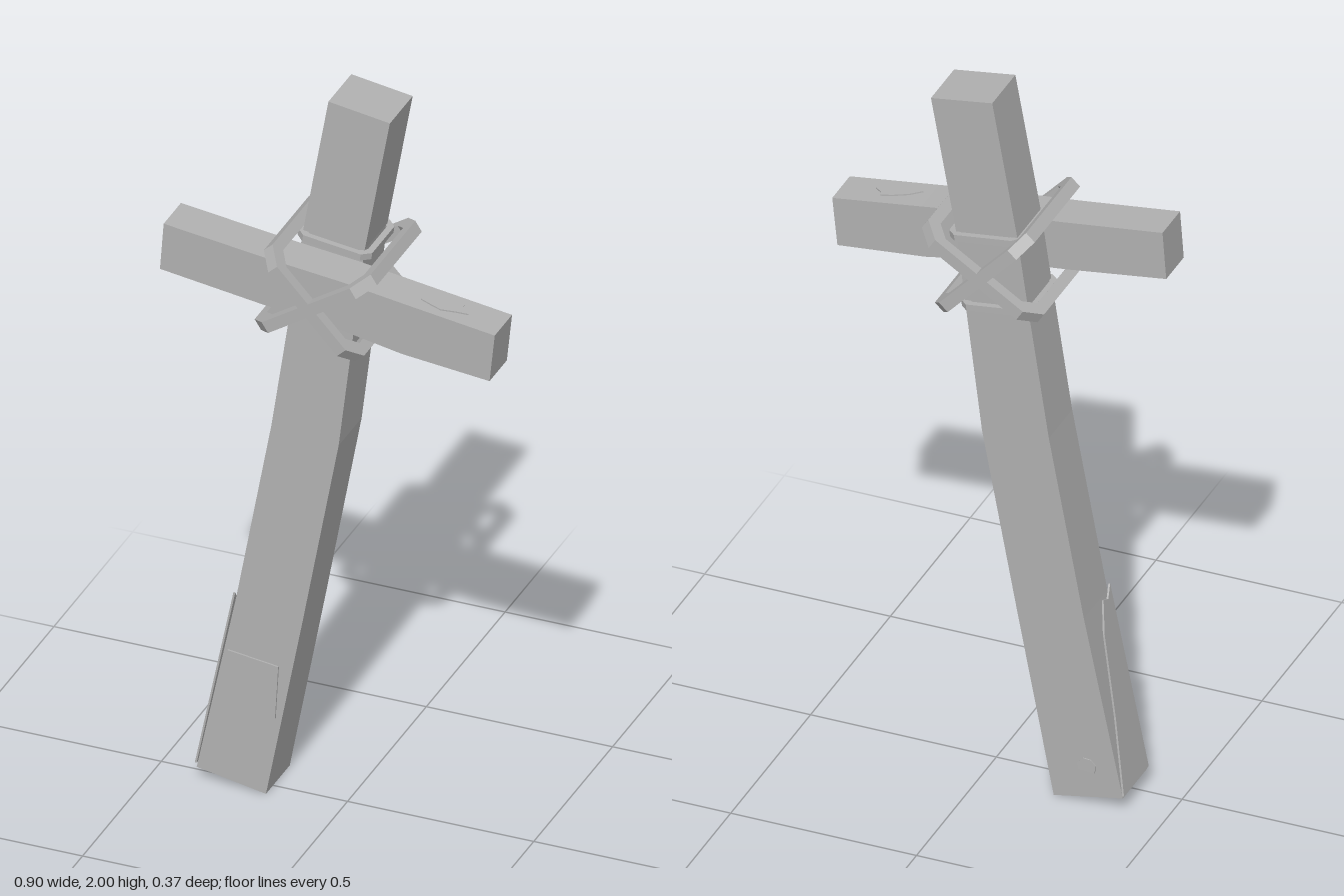
import * as THREE from 'three';

const wood = new THREE.MeshStandardMaterial({ color: 0xb0b0b0 });
wood.name = 'grey wood';

// Closed beam through four-cornered sections (corners anticlockwise seen from the far end)
function loft(sections) {
  const pos = [];
  const quad = (a, b, c, d) => pos.push(...a, ...b, ...c, ...a, ...c, ...d);
  for (let i = 0; i < sections.length - 1; i++) {
    const s = sections[i], t = sections[i + 1];
    for (let j = 0; j < 4; j++) {
      const k = (j + 1) % 4;
      quad(s[j], s[k], t[k], t[j]);
    }
  }
  const [a, b, c, d] = sections[0];
  quad(d, c, b, a);
  quad(...sections[sections.length - 1]);
  const g = new THREE.BufferGeometry();
  g.setAttribute('position', new THREE.Float32BufferAttribute(pos, 3));
  g.computeVertexNormals();
  return g;
}

// Corner points of a rectangle with chamfered corners
function chamfered(w, h, c) {
  const x = w / 2, y = h / 2;
  return [[x - c, -y], [x, -y + c], [x, y - c], [x - c, y], [-x + c, y], [-x, y - c], [-x, -y + c], [-x + c, -y]]
    .map(p => new THREE.Vector2(...p));
}

// Chamfered rectangular loop lying flat, centred on the origin
function loop(w, d, bar, thick, chamfer) {
  const shape = new THREE.Shape(chamfered(w, d, chamfer));
  shape.holes.push(new THREE.Path(chamfered(w - 2 * bar, d - 2 * bar, chamfer * 0.75)));
  const g = new THREE.ExtrudeGeometry(shape, { depth: thick, bevelEnabled: false });
  g.translate(0, 0, -thick / 2);
  return g.rotateX(Math.PI / 2);
}

// Thin plate from outline points
function plate(points) {
  const shape = new THREE.Shape(points.map(p => new THREE.Vector2(...p)));
  return new THREE.ExtrudeGeometry(shape, { depth: 0.005, bevelEnabled: false });
}

export function createModel() {
  const model = new THREE.Group();
  const add = (name, geometry) => {
    const m = new THREE.Mesh(geometry, wood);
    m.name = name;
    model.add(m);
    return m;
  };

  // Bent, leaning post: left x, left y, right x, right y, back z, front z
  add('post', loft([
    [-0.386, 0.035, -0.2, 0, -0.106, 0.045],
    [-0.285, 0.54, -0.107, 0.51, -0.115, 0.032],
    [-0.195, 1.05, -0.015, 1.03, -0.125, 0.021],
    [-0.145, 1.4, 0.025, 1.38, -0.132, 0.015],
    [-0.115, 1.62, 0.05, 1.6, -0.136, 0.01],
    [-0.05, 2, 0.115, 1.975, -0.142, 0.003],
  ].map(([xl, yl, xr, yr, zb, zf]) => [[xl, yl, zf], [xr, yr, zf], [xr, yr, zb], [xl, yl, zb]])));

  // Sagging crossbar: bottom x, bottom y, top x, top y
  add('crossbar', loft([
    [-0.45, 1.495, -0.44, 1.627],
    [-0.18, 1.457, -0.17, 1.592],
    [0.03, 1.432, 0.04, 1.569],
    [0.2, 1.4, 0.21, 1.544],
    [0.435, 1.376, 0.449, 1.51],
  ].map(([xb, yb, xt, yt]) => [[xb, yb, 0.127], [xb, yb, 0.017], [xt, yt, 0.017], [xt, yt, 0.127]])));

  // Two crossed lashings around both beams
  for (const [x, y, length, angle] of [[-0.03, 1.502, 0.36, -0.82], [-0.025, 1.505, 0.37, 0.57]]) {
    const lashing = add('diagonalLashing', loop(length, 0.374, 0.03, 0.032, 0.045));
    lashing.position.set(x, y, 0);
    lashing.rotation.z = angle;
  }

  // Snug collars on the post above and below the crossbar
  for (const [x, y] of [[-0.03, 1.6], [-0.062, 1.405]]) {
    const collar = add('postCollar', loop(0.2, 0.185, 0.016, 0.018, 0.022));
    collar.position.set(x, y, -0.061);
    collar.rotation.z = -0.13;
  }

  // Thin panel on the lower front
  const panel = add('frontPanel', plate([[-0.3, 0.245], [-0.175, 0.222], [-0.168, 0.37], [-0.305, 0.388]]));
  panel.position.set(0, 0.3, 0.04);
  panel.geometry.translate(0, -0.3, 0);
  panel.rotation.x = -0.025;

  // Jagged splinter along the lower right-hand side
  const splinter = add('sideSplinter', plate([
    [-0.08, 0], [0.075, 0], [0.07, 0.52], [0.045, 0.49], [0.02, 0.5], [-0.01, 0.42], [-0.04, 0.2],
  ]));
  splinter.geometry.rotateY(-Math.PI / 2);
  splinter.position.set(-0.387, 0.045, -0.032);
  splinter.rotation.z = -0.197;

  // Knot on top of the crossbar
  const knot = add('crossbarKnot', plate([
    [-0.065, -0.01], [-0.03, -0.02], [-0.005, -0.026], [0.03, -0.014], [0.062, -0.006],
    [0.04, 0.012], [0.037, 0.026], [0.005, 0.022], [-0.035, 0.01],
  ]));
  knot.geometry.rotateX(-Math.PI / 2);
  knot.position.set(0.297, 1.53, 0.075);
  knot.rotation.z = -0.14;

  // Small knot low on the back
  const backKnot = add('backKnot', plate([
    [-0.022, -0.018], [0.022, -0.014], [0.024, 0.004], [0.01, 0.02], [-0.012, 0.018], [-0.024, 0.004],
  ]));
  backKnot.position.set(-0.29, 0.11, -0.111);

  return model;
}
